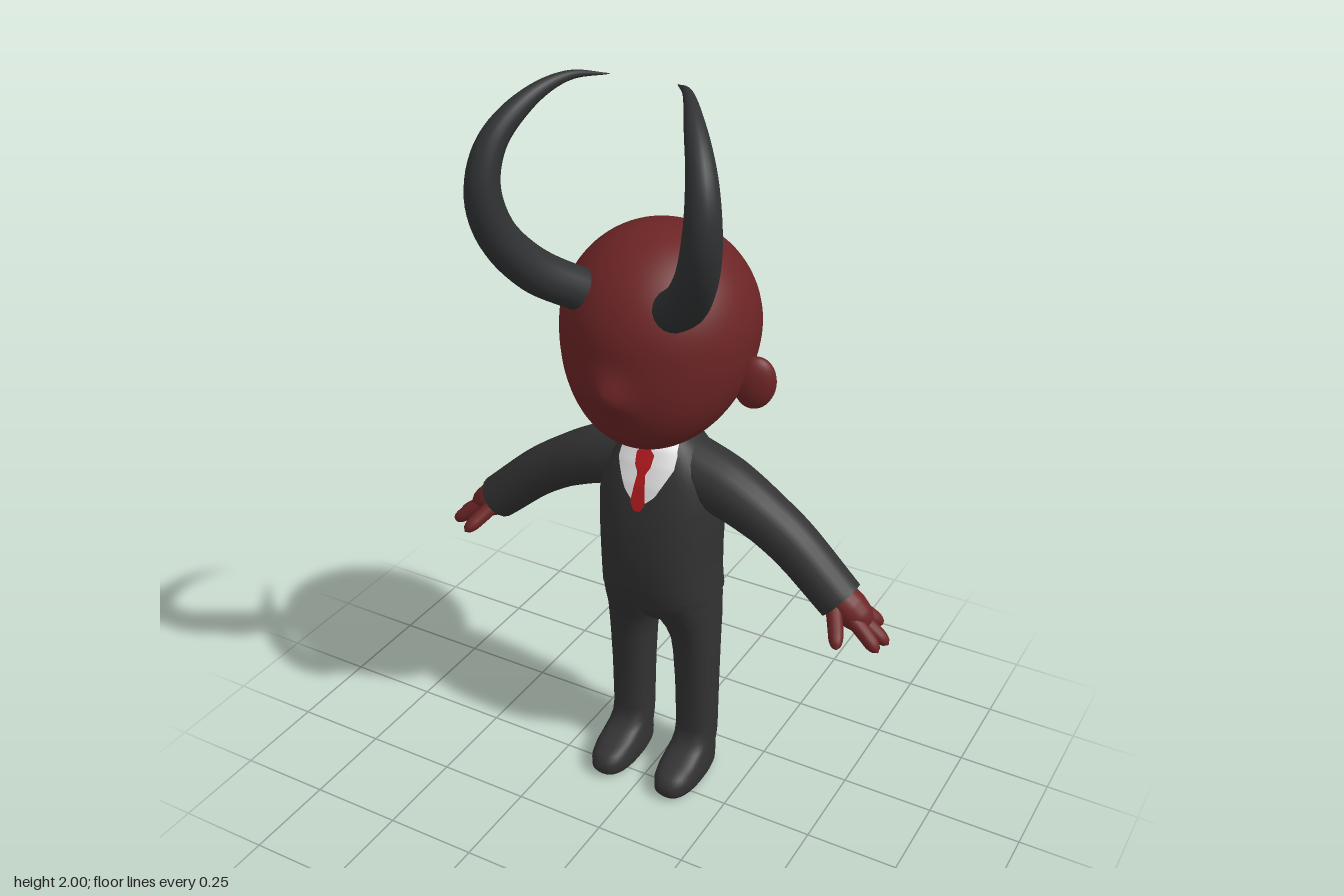
import * as THREE from 'three';

const V = (x, y, z) => new THREE.Vector3(x, y, z);
const POWER = 2.5; // roundness of the body cross-sections

// Rows of a body: [y, x min, x max, z back, z front], from the bottom up
const torsoRows = [
  [0.585, -0.16, 0.16, -0.232, 0.022], [0.6, -0.16, 0.16, -0.232, 0.03],
  [0.65, -0.157, 0.157, -0.231, 0.04], [0.72, -0.157, 0.157, -0.23, 0.045],
  [0.8, -0.16, 0.16, -0.229, 0.043], [0.88, -0.162, 0.162, -0.226, 0.033],
  [0.95, -0.155, 0.155, -0.218, 0.017], [1.0, -0.13, 0.13, -0.206, 0],
  [1.04, -0.1, 0.1, -0.187, -0.018], [1.06, -0.077, 0.077, -0.172, -0.034],
];
const hipRows = [
  [0.5, -0.05, 0.05, -0.16, -0.06], [0.512, -0.08, 0.08, -0.185, -0.038],
  [0.54, -0.12, 0.12, -0.2, -0.02], [0.59, -0.15, 0.15, -0.215, 0.005],
  [0.64, -0.152, 0.152, -0.215, 0.02],
];
const legRows = [
  [0, 0.058, 0.142, -0.16, 0.045], [0.006, 0.047, 0.153, -0.172, 0.063],
  [0.02, 0.041, 0.158, -0.179, 0.074], [0.045, 0.04, 0.159, -0.18, 0.074],
  [0.065, 0.042, 0.157, -0.18, 0.056], [0.08, 0.044, 0.155, -0.179, 0.02],
  [0.095, 0.045, 0.154, -0.178, -0.025], [0.115, 0.045, 0.154, -0.177, -0.053],
  [0.15, 0.045, 0.154, -0.176, -0.064], [0.3, 0.042, 0.155, -0.178, -0.058],
  [0.4, 0.038, 0.156, -0.183, -0.048], [0.45, 0.033, 0.156, -0.188, -0.04],
  [0.49, 0.018, 0.156, -0.196, -0.03], [0.52, 0, 0.155, -0.204, -0.018],
  [0.56, -0.01, 0.154, -0.211, 0], [0.62, -0.02, 0.152, -0.215, 0.02],
];

// Closed smooth skin over rings of points, with flat caps at both ends
function skin(rings) {
  const n = rings[0].length, pos = [], idx = [];
  const add = (p) => pos.push(p.x, p.y, p.z) / 3 - 1;
  rings.forEach((ring) => ring.forEach(add));
  for (let i = 0; i < rings.length - 1; i++) {
    for (let j = 0; j < n; j++) {
      const a = i * n + j, b = i * n + (j + 1) % n;
      idx.push(a, b, a + n, b, b + n, a + n);
    }
  }
  [rings[0], rings[rings.length - 1]].forEach((ring, end) => {
    const c = add(ring.reduce((s, p) => s.add(p), V(0, 0, 0)).divideScalar(n));
    ring.forEach(add);
    for (let j = 0; j < n; j++) {
      const a = c + 1 + j, b = c + 1 + (j + 1) % n;
      idx.push(c, ...(end ? [a, b] : [b, a]));
    }
  });
  const g = new THREE.BufferGeometry();
  g.setAttribute('position', new THREE.Float32BufferAttribute(pos, 3));
  g.setIndex(idx);
  g.computeVertexNormals();
  return g;
}

// Rounded-box cross-sections stacked upward; wave lifts the sides of the lowest row
function stack(rows, wave = 0, sides = 40) {
  const curve = (v) => Math.sign(v) * Math.abs(v) ** (2 / POWER);
  return skin(rows.map(([y, x0, x1, z0, z1], i) => Array.from({ length: sides }, (_, j) => {
    const a = j / sides * Math.PI * 2, s = Math.sin(a), c = Math.cos(a);
    const lift = i === 0 ? wave * (s * s - 0.5 * Math.max(c, 0)) : 0;
    return V((x0 + x1) / 2 + (x1 - x0) / 2 * curve(s), y + lift,
      (z0 + z1) / 2 + (z1 - z0) / 2 * curve(c));
  })));
}

// Round tube along a smooth path with varying radius; round closes the tip softly
function sweep(points, radii, round = false, steps = 32, sides = 20) {
  const path = new THREE.CatmullRomCurve3(points.map((p) => V(...p)));
  const { normals, binormals } = path.computeFrenetFrames(steps);
  return skin(normals.map((N, i) => {
    const t = i / steps, f = t * (radii.length - 1);
    const k = Math.min(Math.floor(f), radii.length - 2);
    let r = THREE.MathUtils.lerp(radii[k], radii[k + 1], f - k);
    if (round && t > 0.7) r *= Math.sqrt(Math.max(1 - ((t - 0.7) / 0.3) ** 2, 0.0004));
    const p = path.getPointAt(t);
    return Array.from({ length: sides }, (_, j) => {
      const a = j / sides * Math.PI * 2;
      return p.clone().addScaledVector(N, r * Math.cos(a)).addScaledVector(binormals[i], r * Math.sin(a));
    });
  }));
}

function mirrored(geometry) {
  const g = geometry.clone().scale(-1, 1, 1), a = g.index.array;
  for (let i = 0; i < a.length; i += 3) [a[i], a[i + 1]] = [a[i + 1], a[i]];
  return g;
}

// Front of the torso at a given x and y
function chestZ(x, y) {
  let i = 0;
  while (i < torsoRows.length - 2 && torsoRows[i + 1][0] < y) i++;
  const p = torsoRows[i], q = torsoRows[i + 1], t = (y - p[0]) / (q[0] - p[0]);
  const [, , h, z0, z1] = p.map((v, k) => THREE.MathUtils.lerp(v, q[k], t));
  const u = Math.min(Math.abs(x) / h, 1);
  return (z0 + z1) / 2 + (z1 - z0) / 2 * (1 - u ** POWER) ** (1 / POWER);
}

// Thin cloth lying on the chest, outlined by [y, half width] from the top down
function chestPatch(outline, offset) {
  const rows = 30, g = new THREE.PlaneGeometry(1, 1, 16, rows), p = g.attributes.position;
  const top = outline[0][0], bottom = outline[outline.length - 1][0];
  for (let i = 0; i < p.count; i++) {
    const y = THREE.MathUtils.lerp(bottom, top, p.getY(i) + 0.5);
    let k = 0;
    while (k < outline.length - 2 && outline[k + 1][0] > y) k++;
    const [a, b] = [outline[k], outline[k + 1]];
    const x = p.getX(i) * 2 * THREE.MathUtils.lerp(a[1], b[1], (a[0] - y) / (a[0] - b[0]));
    p.setXYZ(i, x, y, chestZ(x, y) + offset);
  }
  g.computeVertexNormals();
  return g;
}

// Ball with a fuller, forward jaw and a soft nose
function headGeometry() {
  const g = new THREE.SphereGeometry(1, 64, 48), p = g.attributes.position;
  for (let i = 0; i < p.count; i++) {
    const x = p.getX(i) * 0.245, d = p.getY(i);
    const y = 1.36 + d * (d > 0 ? 0.252 : 0.3);
    let z = -0.08 + p.getZ(i) * 0.25 + (d < 0 ? 0.06 * (-d) ** 1.5 : 0);
    if (p.getZ(i) > 0) z += 0.03 * Math.exp(-(x * x + (y - 1.265) ** 2) / 0.0022);
    p.setXYZ(i, x, y, z);
  }
  g.computeVertexNormals();
  return g;
}

export function createModel() {
  const model = new THREE.Group();
  const material = (name, color, side = THREE.FrontSide) => {
    const m = new THREE.MeshStandardMaterial({ color, side });
    m.name = name;
    return m;
  };
  const skinRed = material('skin red', 0x6c2425);
  const suit = material('suit charcoal', 0x323232);
  const horn = material('horn grey', 0x303233);
  const white = material('shirt white', 0xf4f4f4, THREE.DoubleSide);
  const tieRed = material('tie red', 0xb51a1e, THREE.DoubleSide);
  const add = (name, geometry, mat) => {
    const mesh = new THREE.Mesh(geometry, mat);
    mesh.name = name;
    model.add(mesh);
  };
  const pair = (name, geometry, mat) => {
    add('left' + name, geometry, mat);
    add('right' + name, mirrored(geometry), mat);
  };

  // Head and neck
  add('head', headGeometry(), skinRed);
  add('neck', new THREE.CylinderGeometry(0.07, 0.074, 0.14, 32).translate(0, 1.06, -0.1), skinRed);
  pair('Ear', new THREE.SphereGeometry(1, 24, 18).scale(0.052, 0.07, 0.03)
    .rotateY(0.35).rotateZ(-0.1).translate(0.247, 1.245, -0.1), skinRed);

  // Horns, splayed a little differently on each side
  const hornRadii = [0.052, 0.053, 0.049, 0.044, 0.036, 0.026, 0.013, 0.001];
  add('leftHorn', sweep([[0.12, 1.475, 0.08], [0.2, 1.55, 0.165], [0.262, 1.66, 0.235], [0.282, 1.77, 0.258],
    [0.265, 1.87, 0.235], [0.21, 1.952, 0.165], [0.155, 1.985, 0.09], [0.088, 1.975, 0.01]], hornRadii, false, 48), horn);
  add('rightHorn', sweep([[-0.12, 1.475, 0.08], [-0.19, 1.55, 0.18], [-0.232, 1.66, 0.263], [-0.243, 1.77, 0.29],
    [-0.23, 1.87, 0.262], [-0.185, 1.952, 0.18], [-0.137, 1.985, 0.095], [-0.084, 1.975, 0.01]], hornRadii, false, 48), horn);

  // Suit
  add('jacket', stack(torsoRows, 0.015), suit);
  add('hips', stack(hipRows), suit);
  pair('Leg', stack(legRows), suit);
  pair('Sleeve', sweep([[0.05, 0.972, -0.108], [0.16, 0.94, -0.105], [0.25, 0.903, -0.1], [0.36, 0.838, -0.097],
    [0.51, 0.71, -0.09]], [0.084, 0.08, 0.069, 0.064, 0.061]), suit);

  // Shirt front and tie
  add('shirt', chestPatch([[1.056, 0.07], [1.03, 0.078], [1.0, 0.079], [0.97, 0.064], [0.93, 0.043], [0.908, 0.02]], 0.006), white);
  add('tie', chestPatch([[1.042, 0.012], [1.03, 0.025], [1.0, 0.022], [0.982, 0.011], [0.905, 0.021], [0.885, 0.008]], 0.011), tieRed);

  // Hands: palm, three fingers and a thumb
  pair('Palm', sweep([[0.48, 0.735, -0.09], [0.53, 0.698, -0.09], [0.59, 0.653, -0.09]], [0.045, 0.047, 0.034], true), skinRed);
  const fingers = [
    [[0.53, 0.695, -0.115], [0.57, 0.662, -0.132], [0.604, 0.632, -0.148]],
    [[0.54, 0.69, -0.092], [0.59, 0.655, -0.092], [0.643, 0.618, -0.092]],
    [[0.54, 0.69, -0.07], [0.59, 0.655, -0.058], [0.634, 0.62, -0.045]],
    [[0.5, 0.71, -0.065], [0.53, 0.672, -0.015], [0.551, 0.645, 0.026]],
  ];
  fingers.forEach((path, i) => pair(i < 3 ? 'Finger' + (i + 1) : 'Thumb', sweep(path, [0.021, 0.02, 0.018], true, 16, 14), skinRed));
  return model;
}
